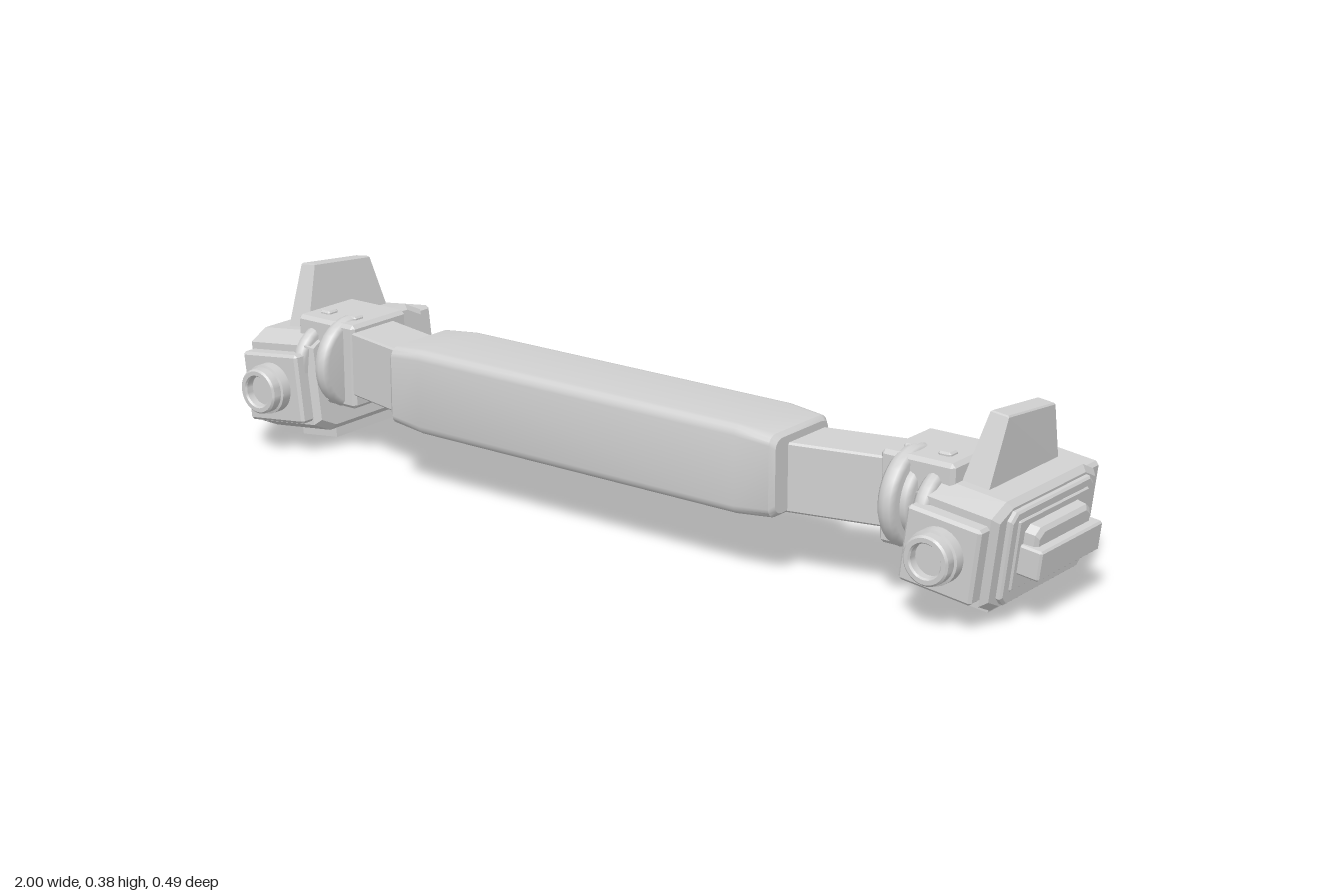
import * as THREE from 'three';
import { ConvexGeometry } from 'three/addons/geometries/ConvexGeometry.js';
import { toCreasedNormals } from 'three/addons/utils/BufferGeometryUtils.js';

const grey = new THREE.MeshStandardMaterial({ color: 0xd0d0d0 });
grey.name = 'light grey';

function add(parent, name, geometry, x = 0, y = 0, z = 0) {
  const mesh = new THREE.Mesh(geometry, grey);
  mesh.name = name;
  mesh.position.set(x, y, z);
  parent.add(mesh);
  return mesh;
}

// Convex solid around a few [x, y, z] corners
const hull = (pts) => new ConvexGeometry(pts.map((p) => new THREE.Vector3(...p)));

// Box between two corners with chamfered edges
function block(parent, name, [x0, x1], [y0, y1], [z0, z1], c = 0.006) {
  const w = Math.abs(x1 - x0) / 2, h = (y1 - y0) / 2, d = (z1 - z0) / 2;
  const pts = [];
  for (const i of [-1, 1]) for (const j of [-1, 1]) for (const k of [-1, 1]) {
    pts.push([i * w, j * (h - c), k * (d - c)], [i * (w - c), j * h, k * (d - c)], [i * (w - c), j * (h - c), k * d]);
  }
  return add(parent, name, hull(pts), (x0 + x1) / 2, (y0 + y1) / 2, (z0 + z1) / 2);
}

// Rectangle in the yz plane at a given x, its corners cut (one step) or rounded
function section(x, [y0, y1], [z0, z1], cy, cz, steps = 1) {
  const pts = [];
  for (let i = 0; i <= steps; i++) {
    const a = (i / steps) * Math.PI / 2;
    const dy = cy * (1 - Math.sin(a)), dz = cz * (1 - Math.cos(a));
    for (const y of [y0 + dy, y1 - dy]) for (const z of [z0 + dz, z1 - dz]) pts.push([x, y, z]);
  }
  return pts;
}

// Rounded disc with its axis along x
function disc(parent, name, x, y, z, r, t) {
  const b = 0.012;
  const profile = [[0, -t], [r - b, -t], [r - 0.003, -t + b * 0.7], [r, 0], [r - 0.003, t - b * 0.7], [r - b, t], [0, t]]
    .map((p) => new THREE.Vector2(...p));
  const g = new THREE.LatheGeometry(profile, 32);
  g.rotateZ(Math.PI / 2);
  return add(parent, name, g, x, y, z);
}

function makeBeam(root) {
  const beam = new THREE.Group();
  beam.name = 'centreBeam';
  root.add(beam);
  const pts = [];
  for (const s of [-1, 1]) {
    pts.push(...section(s * 0.4, [0.13, 0.31], [0.025, 0.225], 0.02, 0.022, 4));
    pts.push(...section(s * 0.478, [0.137, 0.303], [0.03, 0.22], 0.02, 0.022, 4));
    pts.push(...section(s * 0.488, [0.145, 0.295], [0.038, 0.212], 0.02, 0.022, 4));
  }
  add(beam, 'beamBody', toCreasedNormals(hull(pts), 0.5));

  // Centre fitting with an open frame on the back
  block(beam, 'centreMount', [-0.115, 0.115], [0.165, 0.255], [-0.016, 0.04], 0.008);
  block(beam, 'centrePad', [-0.108, 0.108], [0.172, 0.245], [-0.03, 0], 0.008);
  for (const y of [0.182, 0.227]) block(beam, 'centreFrameRail', [-0.088, 0.088], [y, y + 0.01], [-0.065, -0.02], 0.002);
  for (const x of [-0.088, 0.078]) block(beam, 'centreFrameEnd', [x, x + 0.01], [0.182, 0.237], [-0.065, -0.02], 0.002);

  // Clips on either side
  for (const s of [-1, 1]) {
    block(beam, 'clipBar', [s * 0.2, s * 0.415], [0.19, 0.218], [-0.004, 0.035], 0.004);
    block(beam, 'clipPad', [s * 0.235, s * 0.38], [0.182, 0.25], [0.002, 0.035], 0.006);
    for (let i = 0; i < 7; i++) {
      add(beam, 'clipStud', new THREE.BoxGeometry(0.01, 0.007, 0.008), s * (0.25 + i * 0.019), 0.168, 0.024);
    }
  }
}

function makeArm(root, s) {
  const arm = new THREE.Group();
  arm.name = s > 0 ? 'leftArm' : 'rightArm';
  root.add(arm);
  add(arm, 'armBar', hull([
    ...section(s * 0.47, [0.14, 0.28], [0.05, 0.175], 0.004, 0.004),
    ...section(s * 0.69, [0.14, 0.28], [-0.003, 0.125], 0.004, 0.004),
  ]));
  add(arm, 'armBackPlate', hull([
    ...section(s * 0.525, [0.16, 0.265], [0.022, 0.07], 0.006, 0.004),
    ...section(s * 0.61, [0.155, 0.27], [0.002, 0.05], 0.006, 0.004),
  ]));
  // Hinge block with its discs
  block(arm, 'hingeBlock', [s * 0.668, s * 0.83], [0.11, 0.295], [-0.038, 0.132], 0.008);
  disc(arm, 'hingeDisc', s * 0.716, 0.203, 0.09, 0.1, 0.02);
  disc(arm, 'hingeHub', s * 0.736, 0.203, 0.09, 0.075, 0.018);
  disc(arm, 'innerDisc', s * 0.787, 0.19, 0.1, 0.088, 0.018);
  for (const x of [0.71, 0.785]) block(arm, 'hingeTab', [s * (x - 0.014), s * (x + 0.014)], [0.27, 0.302], [0.065, 0.095], 0.004);
}

function makePod(root, s) {
  const pod = new THREE.Group();
  pod.name = s > 0 ? 'leftPod' : 'rightPod';
  pod.position.set(s * 0.845, 0.145, 0);
  pod.rotation.z = -0.12 * s;
  root.add(pod);

  // Main housing with front and rear blocks
  const pts = [];
  for (const k of [-1, 1]) {
    pts.push(...section(k * 0.08, [-0.109, 0.11], [-0.2, 0.168], 0.022, 0.046));
    pts.push(...section(k * 0.092, [-0.098, 0.099], [-0.189, 0.155], 0.02, 0.042));
  }
  add(pod, 'housing', hull(pts));
  block(pod, 'frontBlock', [-0.08, 0.08], [-0.078, 0.073], [0.14, 0.2], 0.006);
  block(pod, 'rearBlock', [-0.076, 0.07], [-0.09, 0.088], [-0.246, -0.13], 0.007);

  // Hollow muzzle on a round flange
  const ring = [[0, 0.19], [0.054, 0.19], [0.054, 0.222], [0.049, 0.224], [0.049, 0.243], [0.045, 0.247],
    [0.036, 0.247], [0.033, 0.243], [0.033, 0.226], [0, 0.226]];
  const muzzle = new THREE.LatheGeometry(ring.map((p) => new THREE.Vector2(...p)), 32);
  muzzle.rotateX(Math.PI / 2);
  add(pod, 'muzzle', toCreasedNormals(muzzle, 0.5));

  // Top fin
  const fin = [];
  for (const k of [-1, 1]) {
    fin.push([k * 0.03, 0.1, 0.103], [k * 0.03, 0.1, -0.15], [k * 0.02, 0.237, 0.049], [k * 0.02, 0.22, -0.122],
      [k * 0.017, 0.24, 0.047], [k * 0.017, 0.223, -0.12]);
  }
  add(pod, 'topFin', hull(fin));

  // Outer side plate and handle
  add(pod, 'sidePlate', hull([
    ...section(s * 0.06, [-0.093, 0.094], [-0.166, 0.13], 0.016, 0.016),
    ...section(s * 0.1, [-0.093, 0.094], [-0.166, 0.13], 0.016, 0.016),
    ...section(s * 0.104, [-0.089, 0.09], [-0.162, 0.126], 0.016, 0.016),
  ]));
  block(pod, 'sideRidge', [s * 0.09, s * 0.108], [-0.066, 0.076], [-0.142, 0.108], 0.003);
  add(pod, 'handleMount', hull([
    ...section(s * 0.1, [-0.036, 0.062], [-0.118, 0.088], 0.012, 0.016),
    ...section(s * 0.128, [-0.032, 0.06], [-0.114, 0.083], 0.012, 0.016),
    ...section(s * 0.135, [-0.026, 0.052], [-0.106, 0.076], 0.012, 0.016),
  ]));
  block(pod, 'handleBar', [s * 0.1, s * 0.154], [-0.034, 0.026], [-0.128, 0.095], 0.004);

  // Louvred vent underneath
  const bar = (name, w, d, x, z) => add(pod, name, new THREE.BoxGeometry(w, 0.035, d), x, -0.1215, z);
  for (const x of [-0.046, 0.046]) bar('ventRail', 0.01, 0.186, x, -0.018);
  for (let i = 0; i < 5; i++) bar('ventSlat', 0.09, 0.012, 0, 0.069 - i * 0.0435);
}

export function createModel() {
  const model = new THREE.Group();
  model.name = 'beamWithPods';
  makeBeam(model);
  for (const s of [-1, 1]) {
    makeArm(model, s);
    makePod(model, s);
  }
  return model;
}
